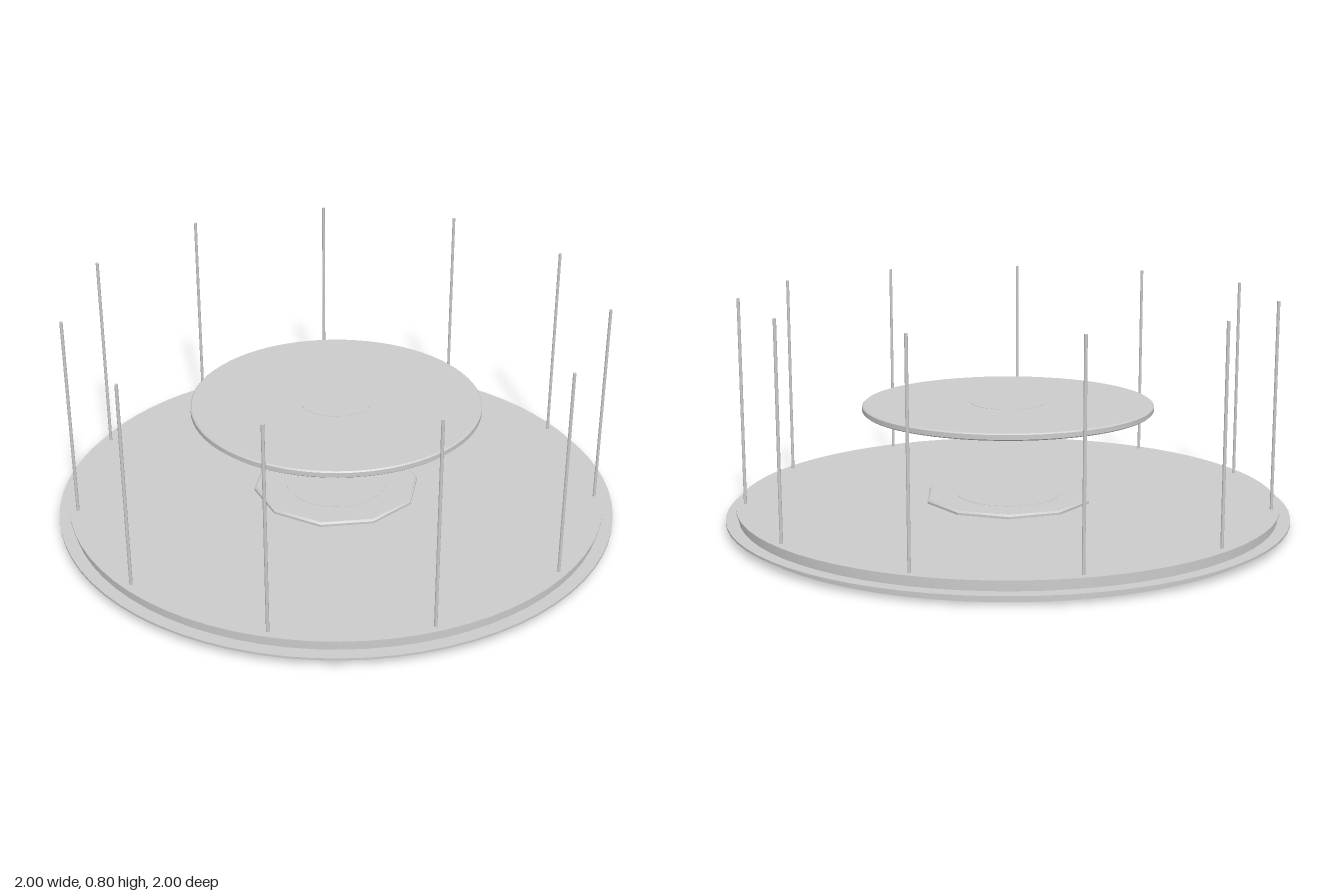
import * as THREE from 'three';
import { toCreasedNormals } from 'three/addons/utils/BufferGeometryUtils.js';

const material = new THREE.MeshStandardMaterial({ color: 0xcccccc });

function add(group, name, geometry, y = 0) {
  const mesh = new THREE.Mesh(geometry, material);
  mesh.name = name;
  mesh.position.y = y;
  group.add(mesh);
  return mesh;
}

// Closed turned solid from [radius, height] pairs, bottom to top
function turned(profile, segments = 72) {
  const points = profile.map(([r, y]) => new THREE.Vector2(r, y));
  return toCreasedNormals(new THREE.LatheGeometry(points, segments), 0.5);
}

export function createModel() {
  const model = new THREE.Group();
  model.name = 'roundPlatform';

  // Deck with a thin projecting rim and a small lip at its top edge
  add(model, 'deck', turned([
    [0, 0], [0.955, 0], [0.955, 0.026], [1, 0.026], [1, 0.034],
    [0.955, 0.034], [0.955, 0.064], [0.963, 0.064], [0.963, 0.07], [0, 0.07],
  ]));

  // Ten-sided raised centre with a round inlay
  add(model, 'centrePlinth', turned([[0, 0.07], [0.3, 0.07], [0.3, 0.078], [0.292, 0.084], [0, 0.084]], 10));
  add(model, 'plinthInlay', new THREE.CylinderGeometry(0.183, 0.183, 0.002, 48), 0.084);

  // Floating upper disc with a round inlay
  add(model, 'upperDisc', turned([
    [0, 0.392], [0.511, 0.392], [0.516, 0.396], [0.516, 0.412], [0.511, 0.416], [0, 0.416],
  ]));
  add(model, 'upperDiscInlay', new THREE.CylinderGeometry(0.13, 0.13, 0.002, 48), 0.416);

  // Eleven slim poles around the edge
  const poles = new THREE.Group();
  poles.name = 'poles';
  const poleCount = 11;
  const poleGeometry = new THREE.CylinderGeometry(0.0055, 0.0055, 0.735, 10);
  for (let i = 0; i < poleCount; i++) {
    const angle = -0.037 + (i / poleCount) * Math.PI * 2;
    const pole = add(poles, 'pole', poleGeometry, 0.4325);
    pole.position.x = 0.933 * Math.cos(angle);
    pole.position.z = 0.933 * Math.sin(angle);
  }
  model.add(poles);
  return model;
}
